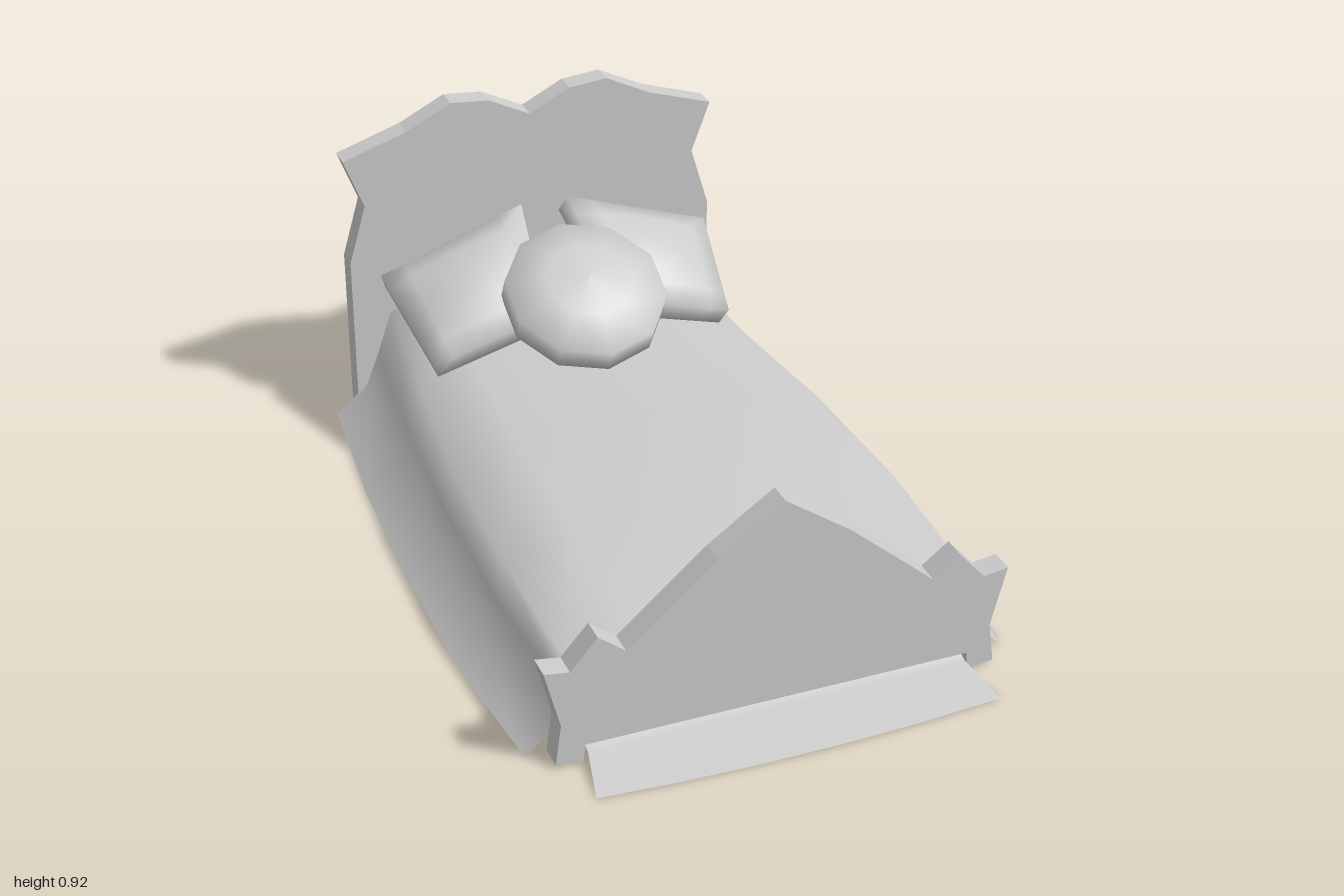
import * as THREE from 'three';
import { mergeVertices } from 'three/addons/utils/BufferGeometryUtils.js';

const solid = new THREE.MeshStandardMaterial({ color: 0xcccccc });
const cloth = new THREE.MeshStandardMaterial({ color: 0xcccccc, side: THREE.DoubleSide });

function part(name, geometry, material = solid) {
  const mesh = new THREE.Mesh(geometry, material);
  mesh.name = name;
  return mesh;
}

// Board cut from a half outline (right half, top centre to bottom), mirrored in x
function board(half, z, depth) {
  const mirrored = half.filter(([x]) => x > 0).reverse().map(([x, y]) => [-x, y]);
  const shape = new THREE.Shape([...half, ...mirrored].map(([x, y]) => new THREE.Vector2(x, y)));
  return new THREE.ExtrudeGeometry(shape, { depth, bevelEnabled: false }).translate(0, 0, z);
}

// Smooth surface lofted through rows of points
function loft(rows) {
  const n = rows[0].length;
  const index = [];
  for (let i = 0; i < rows.length - 1; i++) {
    for (let j = 0; j < n - 1; j++) {
      const a = i * n + j, b = a + n;
      index.push(a, b, a + 1, b, b + 1, a + 1);
    }
  }
  const g = new THREE.BufferGeometry();
  g.setAttribute('position', new THREE.Float32BufferAttribute(rows.flat(2), 3));
  g.setIndex(index);
  g.computeVertexNormals();
  return g;
}

// Blanket: domed top, side drops and flared hem; stations are z, half width, crown, edge, hem
function blanket() {
  const stations = [
    [-0.94, 0.43, 0.35, 0.31, 0.605],
    [-0.5, 0.475, 0.335, 0.278, 0.65],
    [-0.1, 0.52, 0.337, 0.275, 0.668],
    [0.35, 0.535, 0.33, 0.275, 0.672],
    [0.77, 0.525, 0.28, 0.25, 0.635],
  ];
  return loft(stations.map(([z, w, crown, edge, hem]) => {
    const half = [
      [w * 0.65, crown - 0.012], [w, edge],
      [w * 0.4 + (hem - 0.1) * 0.6, edge * 0.3 + 0.085],
      [hem - 0.09, 0.08], [hem, 0.004],
    ];
    return [
      ...half.slice().reverse().map(([x, y]) => [-x, y, z]),
      [0, crown, z],
      ...half.map(([x, y]) => [x, y, z]),
    ];
  }));
}

// Blanket end: drops behind the footboard and sweeps out under it
function blanketEnd() {
  const across = [-1, -0.6, -0.2, 0.2, 0.6, 1];
  const profile = [[0.765, 0.28, 0.5], [0.765, 0.12, 0.5], [0.785, 0.045, 0.5], [0.84, 0.03, 0.5], [1, 0, 0.53]];
  return loft(profile.map(([z, y, w], i) => across.map((u) => [
    u * w,
    y - (i === 0 ? 0.03 * u * u : 0),
    z - (i === 4 ? 0.025 * u * u : 0),
  ])));
}

// Pillow: a subdivided box puffed over four corners; side is +1 or -1
function pillow(side) {
  const rearIn = new THREE.Vector3(0.06, 0.605, -0.84), rearOut = new THREE.Vector3(0.475, 0.46, -0.84);
  const frontIn = new THREE.Vector3(0.1, 0.42, -0.52), frontOut = new THREE.Vector3(0.425, 0.325, -0.53);
  const normal = new THREE.Vector3(0.295, 0.845, 0.445);
  let g = new THREE.BoxGeometry(2, 2, 2, 6, 1, 6);
  g.deleteAttribute('uv');
  g.deleteAttribute('normal');
  g = mergeVertices(g);
  const pos = g.attributes.position;
  for (let i = 0; i < pos.count; i++) {
    const u = pos.getX(i) * side, v = pos.getZ(i);
    const rear = rearIn.clone().lerp(rearOut, (u + 1) / 2);
    const front = frontIn.clone().lerp(frontOut, (u + 1) / 2);
    const p = rear.lerp(front, (v + 1) / 2);
    const puff = 0.03 + 0.05 * (1 - u * u) * (1 - v * v);
    p.addScaledVector(normal, pos.getY(i) * puff);
    pos.setXYZ(i, p.x * side, p.y, p.z);
  }
  g.computeVertexNormals();
  return g;
}

export function createModel() {
  const bed = new THREE.Group();
  bed.name = 'bed';

  // Scalloped end boards
  bed.add(part('headboard', board([
    [0, 0.85], [0.12, 0.91], [0.23, 0.92], [0.36, 0.855], [0.545, 0.795],
    [0.49, 0.65], [0.54, 0.48], [0.54, 0],
  ], -1, 0.065)));
  bed.add(part('footboard', board([
    [0, 0.615], [0.17, 0.495], [0.4, 0.295], [0.47, 0.35], [0.54, 0.27], [0.605, 0.28],
    [0.565, 0.12], [0.58, 0.01], [0.51, 0], [0.505, 0.05],
  ], 0.77, 0.065)));

  // Bedding
  bed.add(part('blanket', blanket(), cloth));
  bed.add(part('blanketEnd', blanketEnd(), cloth));
  bed.add(part('leftPillow', pillow(1)));
  bed.add(part('rightPillow', pillow(-1)));

  // Round cushion leaning on the pillows
  const profile = [[0, -0.09], [0.12, -0.08], [0.225, -0.035], [0.225, 0.035], [0.12, 0.08], [0, 0.09]];
  const cushion = part('roundCushion', new THREE.LatheGeometry(
    profile.map(([x, y]) => new THREE.Vector2(x, y)), 10));
  cushion.position.set(0, 0.485, -0.51);
  cushion.rotation.set(0.47, 0, 0);
  bed.add(cushion);

  return bed;
}
